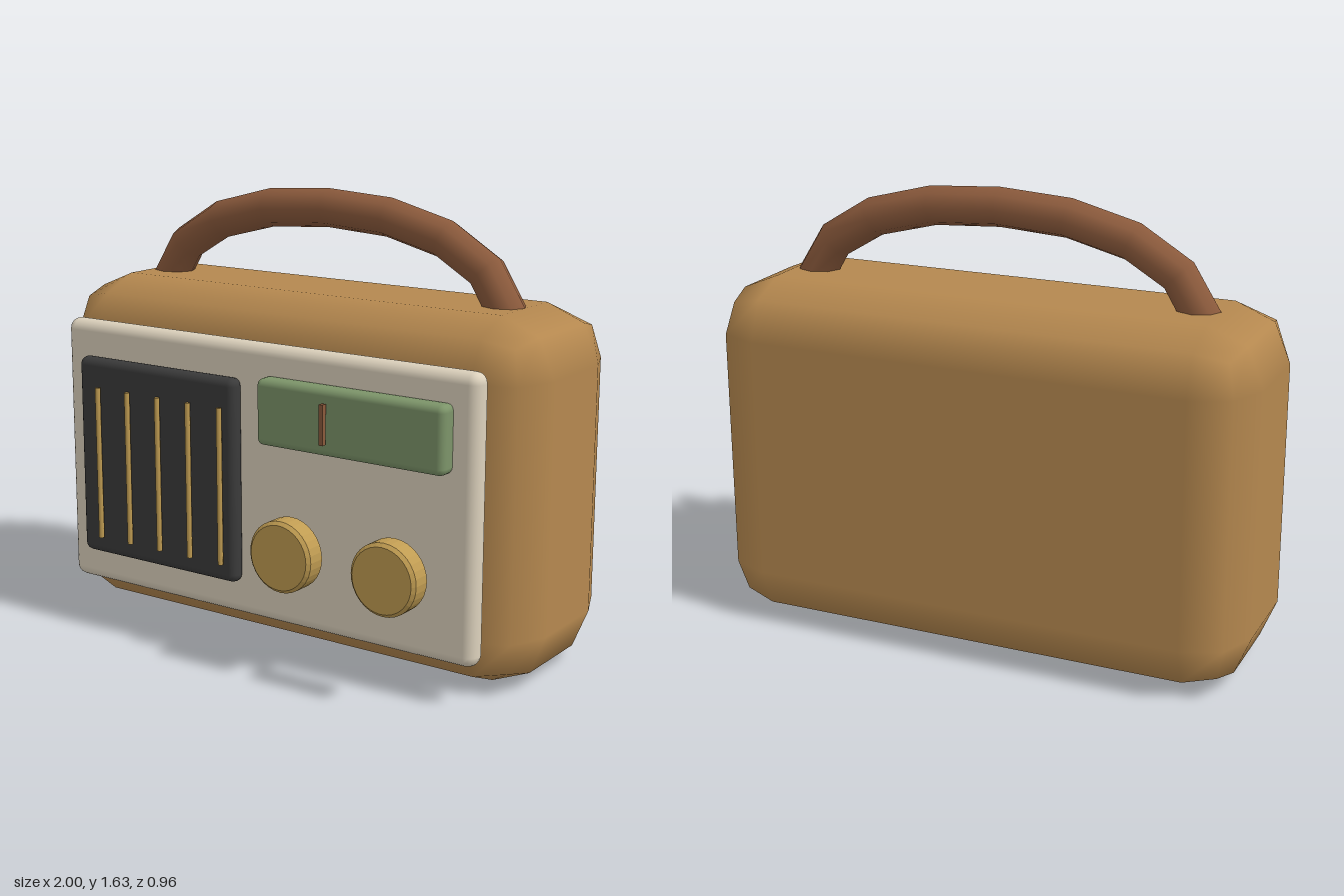
import * as THREE from 'three';
import { RoundedBoxGeometry } from 'three/addons/geometries/RoundedBoxGeometry.js';

const material = (name, color) => {
  const m = new THREE.MeshStandardMaterial({ color });
  m.name = name;
  return m;
};

export function createModel() {
  const group = new THREE.Group();
  const tan = material('tan leather', 0xb5884f);
  const brown = material('brown leather', 0x8b5a3c);
  const cream = material('cream', 0xddd2bd);
  const charcoal = material('charcoal', 0x3b3b3b);
  const green = material('dial green', 0x7c9469);
  const gold = material('gold', 0xc09c52);

  const add = (name, geometry, mat, x, y, z) => {
    const mesh = new THREE.Mesh(geometry, mat);
    mesh.name = name;
    mesh.position.set(x, y, z);
    group.add(mesh);
    return mesh;
  };

  // Rounded box given by its lower and upper limits on each axis
  const slab = (name, mat, [x0, x1], [y0, y1], [z0, z1], segments, radius) =>
    add(name, new RoundedBoxGeometry(x1 - x0, y1 - y0, z1 - z0, segments, radius), mat,
      (x0 + x1) / 2, (y0 + y1) / 2, (z0 + z1) / 2);

  // Case, front plate, speaker and tuning dial
  slab('body', tan, [-1, 1], [0, 1.28], [-0.48, 0.24], 1, 0.2);
  slab('frontPanel', cream, [-0.88, 0.88], [0.14, 1.14], [0.24, 0.324], 2, 0.04);
  slab('speaker', charcoal, [-0.78, -0.06], [0.27, 1.015], [0.315, 0.376], 2, 0.03);
  slab('dialWindow', green, [0.04, 0.79], [0.8, 1.035], [0.305, 0.386], 2, 0.025);

  // Tuning needle
  add('dialNeedle', new THREE.BoxGeometry(0.016, 0.14, 0.02), brown, 0.336, 0.918, 0.409);

  // Speaker bars
  for (let i = 0; i < 5; i++) {
    add('speakerBar', new THREE.CylinderGeometry(0.01, 0.01, 0.57, 8), gold, -0.67 + i * 0.14, 0.627, 0.395);
  }

  // Knobs with a small bevel on both rims
  const r = 0.127, h = 0.045, b = 0.012;
  const creased = [[0, -h], [r - b, -h], [r, -h + b], [r, h - b], [r - b, h], [0, h]]
    .map(([x, y]) => new THREE.Vector2(x, y));
  const knob = new THREE.LatheGeometry(creased, 32).rotateX(Math.PI / 2).toNonIndexed();
  knob.computeVertexNormals();
  for (const x of [0.205, 0.62]) add('knob', knob, gold, x, 0.448, 0.435);

  // Carrying handle: an eight-sided tube along a shallow arch
  const half = [[0.742, 1.24], [0.65, 1.39], [0.485, 1.49], [0.255, 1.549]];
  const path = new THREE.CatmullRomCurve3([
    ...half.map(([x, y]) => new THREE.Vector3(-x, y, 0)),
    new THREE.Vector3(0, 1.565, 0),
    ...half.slice().reverse().map(([x, y]) => new THREE.Vector3(x, y, 0)),
  ]);
  // Keep the rings on the listed points
  path.getPointAt = (t, v) => path.getPoint(t, v);
  path.getTangentAt = (t, v) => path.getTangent(t, v);
  add('handle', new THREE.TubeGeometry(path, 8, 0.07, 8), brown, 0, 0, -0.12);

  return group;
}
